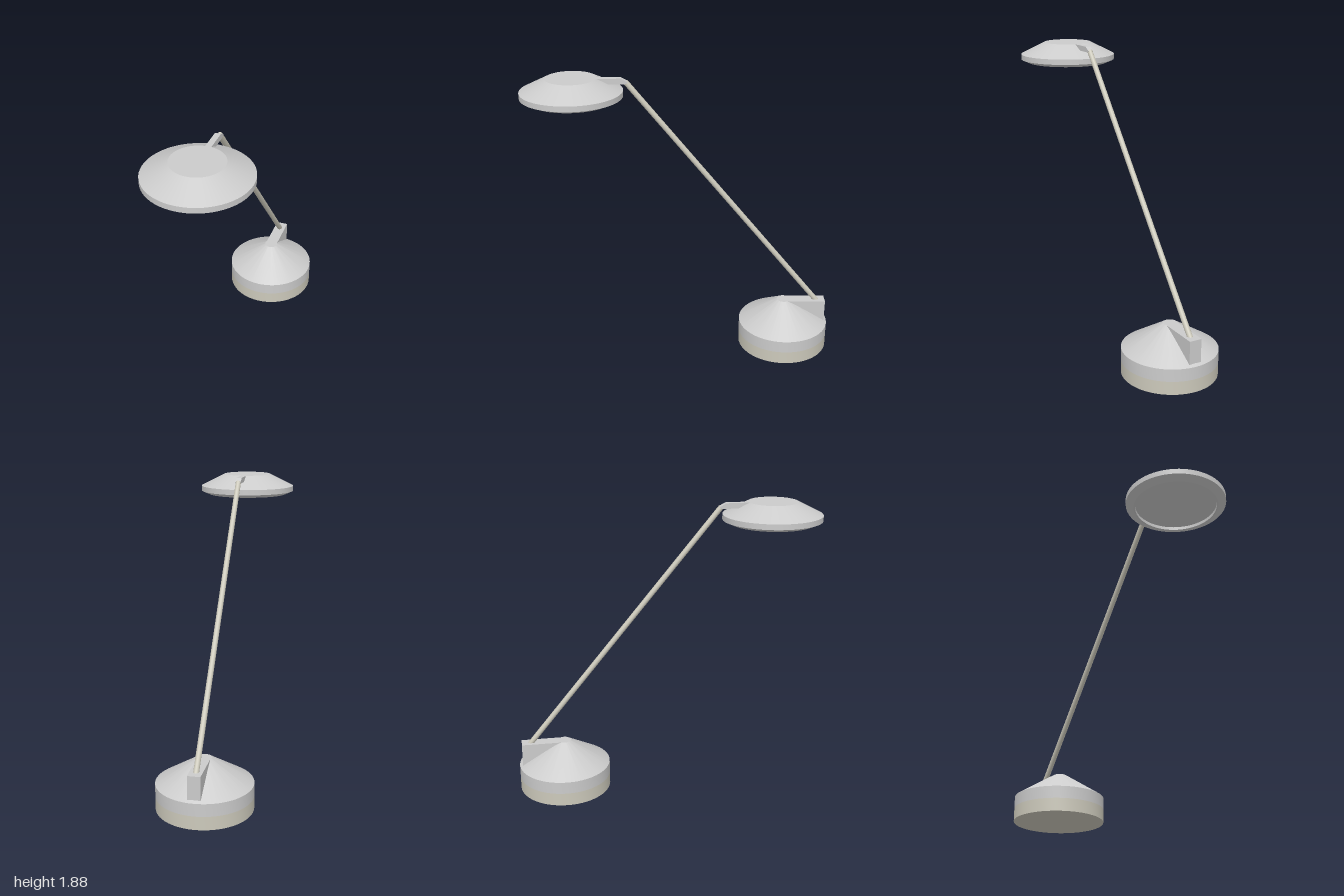
import * as THREE from 'three';
import { toCreasedNormals } from 'three/addons/utils/BufferGeometryUtils.js';

const grey = new THREE.MeshStandardMaterial({ color: 0xcccccc });
const warmGrey = new THREE.MeshStandardMaterial({ color: 0xccc9bb });

function add(group, name, geometry, material = grey) {
  const mesh = new THREE.Mesh(geometry, material);
  mesh.name = name;
  group.add(mesh);
  return mesh;
}

// Turned part from [radius, y] pairs, bottom to top, with crisp rims
function turned(profile) {
  const points = profile.map(([r, y]) => new THREE.Vector2(r, y));
  return toCreasedNormals(new THREE.LatheGeometry(points, 64), 0.4);
}

// Flat side outline in [z, y] pairs, extruded to a width centred on x = 0
function sideExtrusion(outline, width) {
  const shape = new THREE.Shape(outline.map(([z, y]) => new THREE.Vector2(-z, y)));
  const geometry = new THREE.ExtrudeGeometry(shape, { depth: width, bevelEnabled: false });
  return geometry.translate(0, 0, -width / 2).rotateY(Math.PI / 2);
}

export function createModel() {
  const lamp = new THREE.Group();
  lamp.name = 'deskLamp';

  // Weighted foot with a conical cover
  const base = new THREE.Group();
  base.name = 'base';
  base.position.z = -0.7;
  lamp.add(base);
  add(base, 'baseFoot', turned([[0, 0], [0.3, 0], [0.3, 0.085]]), warmGrey);
  add(base, 'baseCover', turned([[0.3, 0.085], [0.3, 0.165], [0.045, 0.325], [0, 0.325]]));

  // Upright block at the back of the base that holds the arm
  add(lamp, 'armSocket', sideExtrusion([[-0.7, 0.16], [-0.7, 0.325], [-0.98, 0.325], [-0.98, 0.16]], 0.08));

  // Straight slanted arm
  const start = new THREE.Vector3(0, 0.265, -0.965);
  const end = new THREE.Vector3(0, 1.855, 0.342);
  const direction = end.clone().sub(start);
  const arm = add(lamp, 'arm', new THREE.CylinderGeometry(0.0175, 0.0175, direction.length(), 16), warmGrey);
  arm.position.copy(start).add(end).multiplyScalar(0.5);
  arm.quaternion.setFromUnitVectors(new THREE.Vector3(0, 1, 0), direction.normalize());

  // Bracket joining the arm to the shade
  add(lamp, 'shadeBracket', sideExtrusion(
    [[0.54, 1.88], [0.37, 1.88], [0.325, 1.855], [0.345, 1.845], [0.54, 1.845]], 0.036));

  // Shallow disc shade with a recessed diffuser
  const shade = new THREE.Group();
  shade.name = 'shade';
  shade.position.z = 0.678;
  lamp.add(shade);
  add(shade, 'shadeShell', turned([
    [0.26, 1.765], [0.26, 1.743], [0.27, 1.743], [0.32, 1.765],
    [0.32, 1.8], [0.16, 1.88], [0, 1.88],
  ]));
  const diffuser = add(shade, 'diffuser', new THREE.CircleGeometry(0.26, 64).rotateX(Math.PI / 2));
  diffuser.position.y = 1.764;

  return lamp;
}
